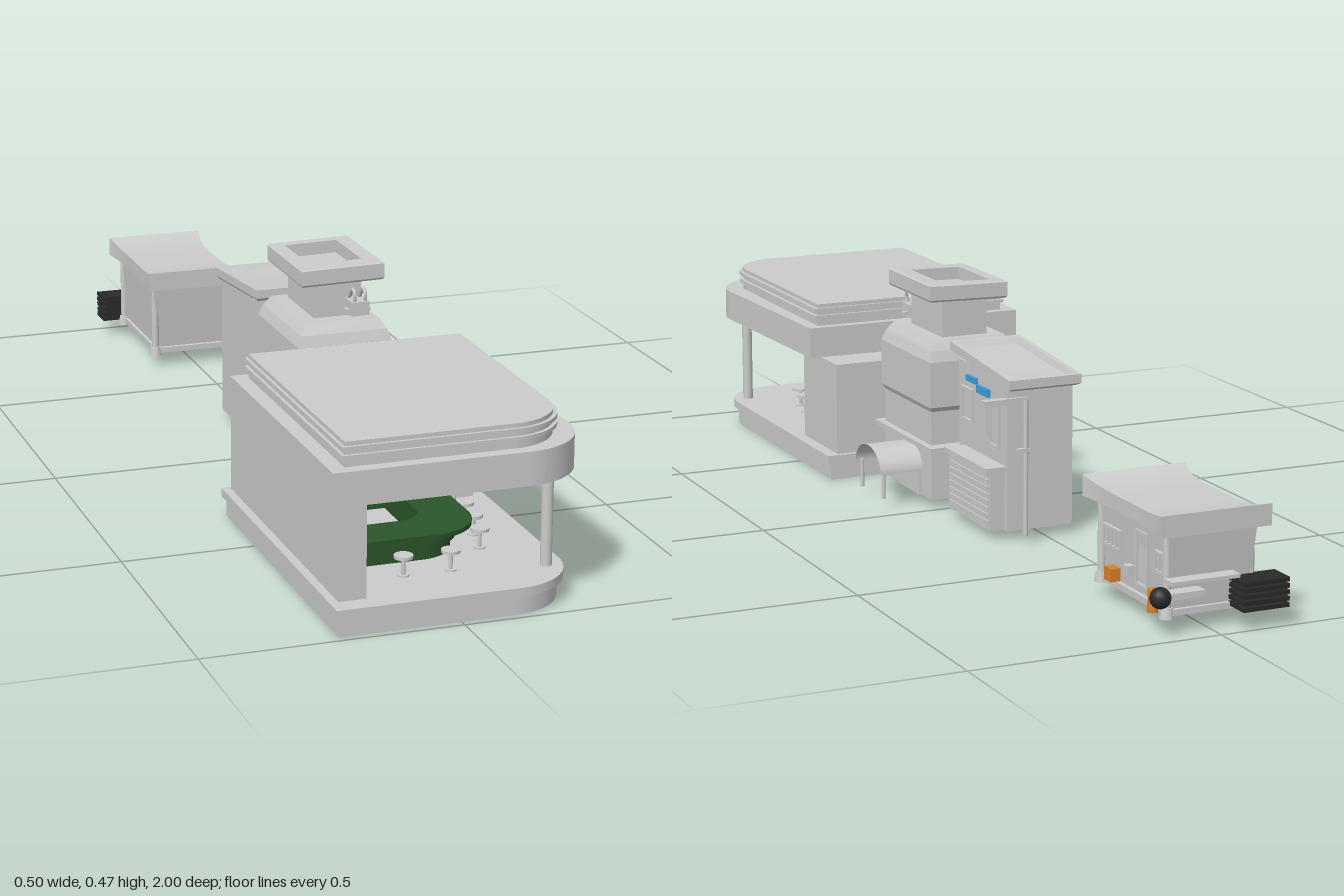
import * as THREE from 'three';

const material = (color) => new THREE.MeshStandardMaterial({ color, side: THREE.DoubleSide });
const GREY = material(0xcccccc), GREEN = material(0x2b552b), BLUE = material(0x3f9fdf);
const ORANGE = material(0xd9822b), BLACK = material(0x2a2a2a);

export function createModel() {
  const model = new THREE.Group();
  let part = model;

  const group = (name) => {
    part = new THREE.Group();
    part.name = name;
    model.add(part);
  };
  const add = (name, geometry, mat = GREY) => {
    const mesh = new THREE.Mesh(geometry, mat);
    mesh.name = name;
    part.add(mesh);
    return mesh;
  };
  // Box given by its limits on each axis
  const box = (name, x0, x1, y0, y1, z0, z1, mat) =>
    add(name, new THREE.BoxGeometry(x1 - x0, y1 - y0, z1 - z0)
      .translate((x0 + x1) / 2, (y0 + y1) / 2, (z0 + z1) / 2), mat);
  const rod = (name, x, z, y0, y1, rTop, rBottom = rTop, mat = GREY) =>
    add(name, new THREE.CylinderGeometry(rTop, rBottom, y1 - y0, 20).translate(x, (y0 + y1) / 2, z), mat);

  // Slab with one round corner at +x +z; xBack is the right edge at the rear
  const outline = (x0, x1, z0, z1, r, xBack = x1) => {
    const s = new THREE.Shape();
    s.moveTo(x0, -z1);
    s.lineTo(x1 - r, -z1);
    s.absarc(x1 - r, -z1 + r, r, -Math.PI / 2, 0, false);
    s.lineTo(xBack, -z0);
    s.lineTo(x0, -z0);
    s.closePath();
    return s;
  };
  const extrudeUp = (name, shape, y0, y1, mat) =>
    add(name, new THREE.ExtrudeGeometry(shape, { depth: y1 - y0, bevelEnabled: false, curveSegments: 16 })
      .rotateX(-Math.PI / 2).translate(0, y0, 0), mat);
  const slab = (name, x0, x1, y0, y1, z0, z1, r, mat, xBack) =>
    extrudeUp(name, outline(x0, x1, z0, z1, r, xBack), y0, y1, mat);

  // Stack of rectangles [y, x0, x1, z0, z1], closed at both ends
  const loft = (name, rings) => {
    const pos = [];
    const pts = rings.map(([y, x0, x1, z0, z1]) => [[x0, y, z1], [x1, y, z1], [x1, y, z0], [x0, y, z0]]);
    const quad = (a, b, c, d) => pos.push(...a, ...b, ...c, ...a, ...c, ...d);
    for (let k = 0; k + 1 < pts.length; k++)
      for (let i = 0; i < 4; i++) {
        const j = (i + 1) % 4;
        quad(pts[k][i], pts[k][j], pts[k + 1][j], pts[k + 1][i]);
      }
    quad(...pts[0].slice().reverse());
    quad(...pts[pts.length - 1]);
    const g = new THREE.BufferGeometry();
    g.setAttribute('position', new THREE.Float32BufferAttribute(pos, 3));
    g.computeVertexNormals();
    return add(name, g);
  };
  const bend = (mesh, rule) => {
    const p = mesh.geometry.attributes.position;
    for (let i = 0; i < p.count; i++) p.setXYZ(i, ...rule(p.getX(i), p.getY(i), p.getZ(i)));
    mesh.geometry.computeVertexNormals();
  };
  // Framed window or door on a wall facing +x
  const opening = (name, x, y0, y1, z0, z1, bars = 0) => {
    const t = 0.005;
    box(name + 'Pane', x - 0.003, x + 0.001, y0, y1, z0, z1);
    for (const y of [y0, y1 - t]) box(name + 'Rail', x, x + 0.006, y, y + t, z0, z1);
    for (let i = 0; i <= bars + 1; i++) {
      const z = z0 + (z1 - z0 - t) * i / (bars + 1);
      box(name + 'Stile', x, x + 0.006, y0, y1, z, z + t);
    }
  };

  // Open-corner diner
  group('diner');
  slab('base', -0.235, 0.225, 0, 0.038, 0.32, 0.985, 0.12);
  slab('baseLedge', -0.242, 0.235, 0.038, 0.055, 0.31, 0.995, 0.125);
  box('kitchenBlock', -0.225, 0.21, 0.055, 0.25, 0.32, 0.51);
  box('sideWall', -0.225, -0.172, 0.055, 0.25, 0.51, 0.955);
  slab('canopy', -0.252, 0.25, 0.25, 0.315, 0.405, 1, 0.13, GREY, 0.235);
  slab('roofCap', -0.222, 0.21, 0.315, 0.362, 0.425, 0.975, 0.11);
  for (const y of [0.331, 0.347]) slab('roofRidge', -0.228, 0.218, y, y + 0.007, 0.419, 0.981, 0.115);
  rod('cornerPost', 0.198, 0.9, 0.055, 0.25, 0.011);

  // Curved bar counter with a serving space behind it
  const counter = (name, x0, x1, y0, y1, z1, r, w) => {
    const s = outline(x0, x1, 0.51, z1, r);
    s.holes.push(outline(x0 + 0.01, x1 - w, 0.52, z1 - w, r * 0.5));
    extrudeUp(name, s, y0, y1, GREEN);
  };
  counter('counterFoot', -0.153, 0.072, 0.055, 0.08, 0.805, 0.08, 0.05);
  counter('counterBody', -0.157, 0.08, 0.08, 0.106, 0.813, 0.085, 0.06);
  counter('counterTop', -0.172, 0.107, 0.106, 0.115, 0.84, 0.1, 0.09);

  for (const [x, z] of [[-0.07, 0.87], [0.022, 0.87], [0.115, 0.78], [0.13, 0.71], [0.14, 0.64], [0.146, 0.57]]) {
    rod('stoolFoot', x, z, 0.055, 0.058, 0.011);
    rod('stoolStem', x, z, 0.055, 0.092, 0.004);
    rod('stoolSeat', x, z, 0.09, 0.096, 0.018);
  }
  rod('lampCord', 0.077, 0.66, 0.19, 0.25, 0.002);
  rod('lampShade', 0.077, 0.66, 0.178, 0.194, 0.006, 0.022);

  // Vent on the low rear roof
  rod('ventStem', 0.06, 0.325, 0.25, 0.275, 0.016);
  add('ventHood', new THREE.CylinderGeometry(0.022, 0.022, 0.055, 20).rotateX(Math.PI / 2).translate(0.06, 0.28, 0.33));
  for (const x of [0.045, 0.075]) box('ventProng', x - 0.004, x + 0.004, 0.262, 0.275, 0.35, 0.39);

  // Grill house with a swollen hood and chimney
  group('grillHouse');
  loft('body', [
    [0.018, -0.06, 0.125, 0.012, 0.255], [0.205, -0.06, 0.125, 0.012, 0.255],
    [0.215, -0.066, 0.13, 0.004, 0.263], [0.31, -0.066, 0.13, 0.004, 0.263],
    [0.332, -0.058, 0.122, 0.012, 0.255], [0.352, -0.045, 0.11, 0.025, 0.24],
  ]);
  box('ledge', -0.075, 0.14, 0.125, 0.135, -0.018, 0.278);
  box('neck', -0.015, 0.085, 0.35, 0.432, 0.045, 0.205);
  bend(loft('chimneyRim', [
    [0.43, -0.05, 0.118, 0.028, 0.24], [0.434, -0.053, 0.12, 0.025, 0.243],
    [0.463, -0.053, 0.12, 0.025, 0.243], [0.466, -0.05, 0.117, 0.028, 0.24],
    [0.466, -0.024, 0.085, 0.052, 0.205], [0.44, -0.024, 0.085, 0.052, 0.205],
  ]), (x, y, z) => [x, y + 0.02 * (x - 0.09), z]);

  // Barrel awning on legs over the hatch
  add('barrelAwning', new THREE.CylinderGeometry(0.068, 0.068, 0.095, 24, 1, true, 0, Math.PI)
    .rotateZ(Math.PI / 2).scale(1, 0.72, 1).translate(0.173, 0.072, 0.122));
  for (const z of [0.065, 0.18]) rod('awningLeg', 0.21, z, 0.018, 0.078, 0.004);
  box('hatch', 0.12, 0.13, 0.018, 0.075, 0.065, 0.18);

  // Junction box with two bent pipes
  box('pipeBox', 0.05, 0.087, 0.362, 0.39, 0.205, 0.25);
  box('pipeBoxBar', 0.043, 0.094, 0.366, 0.373, 0.22, 0.235);
  for (const x of [0.058, 0.08]) {
    const curve = new THREE.CatmullRomCurve3([[0.385, 0.24], [0.405, 0.243], [0.413, 0.235], [0.405, 0.222], [0.385, 0.205]]
      .map(([y, z]) => new THREE.Vector3(x, y, z)));
    add('bentPipe', new THREE.TubeGeometry(curve, 16, 0.004, 8));
  }

  // Kiosk with a sloping tray roof
  group('kiosk');
  loft('walls', [[0.018, -0.058, 0.085, -0.272, -0.04], [0.325, -0.058, 0.085, -0.272, -0.04]]);
  bend(loft('trayRoof', [
    [0.318, -0.058, 0.082, -0.285, -0.022], [0.325, -0.065, 0.092, -0.297, -0.01],
    [0.343, -0.065, 0.092, -0.297, -0.01], [0.343, -0.055, 0.082, -0.287, -0.02],
    [0.33, -0.05, 0.077, -0.28, -0.03],
  ]), (x, y, z) => [x, y + 0.087 * (z + 0.153), z]);
  box('servingCounter', 0.08, 0.115, 0.018, 0.14, -0.258, -0.055);
  box('counterShelf', 0.08, 0.13, 0.14, 0.15, -0.268, -0.065);
  for (let y = 0.03; y < 0.13; y += 0.014) box('shutterSlat', 0.113, 0.118, y, y + 0.008, -0.25, -0.063);
  opening('window', 0.085, 0.205, 0.275, -0.115, -0.06);
  opening('menuWindow', 0.085, 0.18, 0.27, -0.24, -0.195);
  box('signPanel', 0.085, 0.092, 0.29, 0.302, -0.132, -0.087, BLUE);
  box('signPanel', 0.085, 0.092, 0.275, 0.291, -0.192, -0.137, BLUE);
  box('signSmall', 0.085, 0.09, 0.25, 0.258, -0.182, -0.152);
  box('signBar', 0.085, 0.09, 0.2, 0.258, -0.183, -0.176);

  group('streetLamp');
  rod('post', 0.065, -0.315, 0.018, 0.3, 0.005);
  box('arm', 0.06, 0.13, 0.295, 0.301, -0.32, -0.314);
  box('lampHead', 0.11, 0.16, 0.291, 0.302, -0.328, -0.31);
  box('clamp', 0.058, 0.085, 0.19, 0.197, -0.32, -0.31);

  // Small hut with an upswept roof
  group('hut');
  loft('walls', [
    [0.04, -0.085, 0.075, -0.942, -0.682], [0.18, -0.095, 0.085, -0.955, -0.668],
  ]);
  box('floor', -0.092, 0.084, 0.03, 0.042, -0.95, -0.672);
  const roof = add('sweptRoof', new THREE.BoxGeometry(0.19, 0.03, 0.33, 4, 1, 24).translate(-0.005, 0.195, -0.81));
  bend(roof, (x, y, z) => {
    const t = Math.pow(Math.abs(z + 0.81) / 0.165, 4);
    return [-0.005 + (x + 0.005) * (1 + 0.15 * t), y + 0.016 * t * (y > 0.19 ? 1 : 0.3), z];
  });
  for (const z of [-0.68, -0.94]) for (const x of [-0.09, 0.08]) {
    rod('cornerPost', x, z, 0.03, 0.18, 0.008);
    rod('postFoot', x, z, 0.025, 0.045, 0.011, 0.014);
  }
  opening('window', 0.083, 0.105, 0.145, -0.77, -0.7, 3);
  opening('door', 0.081, 0.06, 0.165, -0.875, -0.828);
  opening('sideWindow', 0.083, 0.105, 0.145, -0.94, -0.905, 1);
  box('crate', 0.08, 0.1, 0.045, 0.07, -0.757, -0.73, ORANGE);
  rod('canister', 0.095, -0.915, 0.032, 0.075, 0.01, 0.01, ORANGE);
  box('smallCrate', 0.08, 0.095, 0.07, 0.09, -0.815, -0.795);

  // Slatted bin and dark barrel behind the hut
  box('binCore', -0.13, -0.05, 0.035, 0.09, -0.99, -0.945, BLACK);
  for (let i = 0; i < 5; i++) box('binSlat', -0.14, -0.045, 0.035 + i * 0.012, 0.043 + i * 0.012, -1, -0.943, BLACK);
  add('darkBarrel', new THREE.SphereGeometry(0.02, 16, 12).translate(0.11, 0.075, -0.972), BLACK);
  box('barrelBracket', 0.02, 0.11, 0.068, 0.08, -0.975, -0.945);
  box('rearShelf', -0.05, 0.09, 0.095, 0.102, -0.978, -0.945);

  return model;
}
